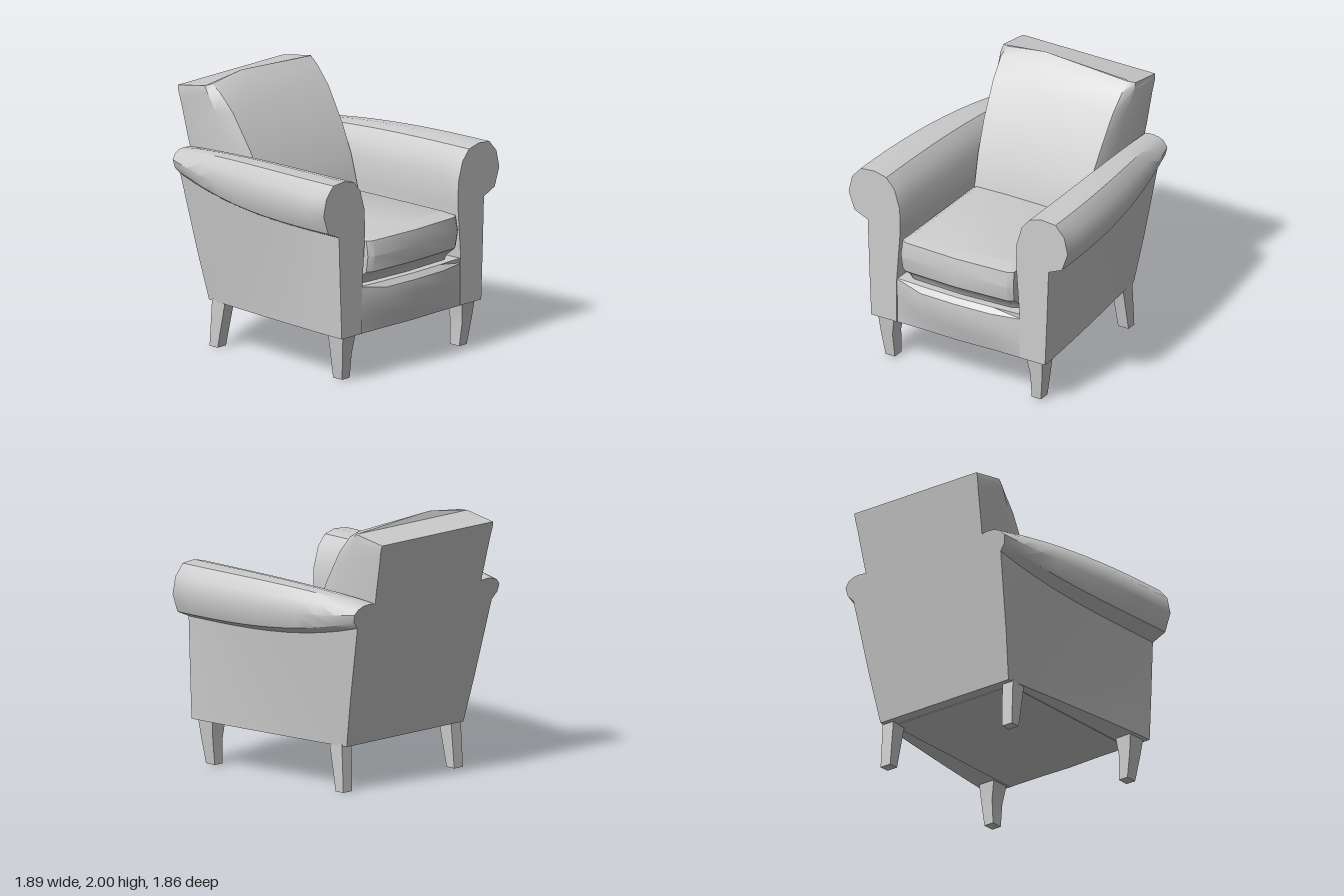
import * as THREE from 'three';
import { toCreasedNormals } from 'three/addons/utils/BufferGeometryUtils.js';

const fabric = new THREE.MeshStandardMaterial({ color: 0xcccccc });
fabric.name = 'light grey';

// Raked plane of the chair's back
const backZ = (y) => -0.59 - (y - 0.345) * 0.217;

// Skins closed rings of [x, y, z] and caps both ends; axes a, b span the caps
function loft(name, rings, a, b, crease = 0.6) {
  const n = rings[0].length;
  const points = rings.flat();
  const tris = [];
  for (let i = 0; i < rings.length - 1; i++) {
    for (let j = 0; j < n; j++) {
      const k = (j + 1) % n;
      const p = i * n + j, q = i * n + k;
      tris.push([p, q, q + n], [p, q + n, p + n]);
    }
  }
  [[0, -1], [rings.length - 1, 1]].forEach(([r, dir]) => {
    const flat = rings[r].map((p) => new THREE.Vector2(p[a], p[b]));
    const sign = Math.sign(THREE.ShapeUtils.area(flat)) * dir;
    for (const t of THREE.ShapeUtils.triangulateShape(flat.slice(), [])) {
      const same = Math.sign(THREE.ShapeUtils.area(t.map((i) => flat[i]))) === sign;
      tris.push((same ? t : [t[0], t[2], t[1]]).map((i) => i + r * n));
    }
  });
  // Turn every face outwards
  const v = points.map((p) => new THREE.Vector3(...p));
  let volume = 0;
  for (const [p, q, r] of tris) volume += v[p].dot(v[q].clone().cross(v[r]));
  const index = tris.flatMap((t) => (volume < 0 ? [t[0], t[2], t[1]] : t));
  const geometry = new THREE.BufferGeometry();
  geometry.setAttribute('position', new THREE.Float32BufferAttribute(points.flat(), 3));
  geometry.setIndex(index);
  const mesh = new THREE.Mesh(toCreasedNormals(geometry, crease), fabric);
  mesh.name = name;
  return mesh;
}

// Arm cross-sections: inner wall, scroll, outer wall
const armFront = [
  [0.53, 0.345], [0.53, 0.7], [0.5, 1.1], [0.505, 1.28], [0.55, 1.43], [0.62, 1.51], [0.72, 1.535],
  [0.84, 1.525], [0.915, 1.44], [0.945, 1.31], [0.895, 1.17], [0.78, 1.12], [0.765, 0.7], [0.75, 0.345],
];
const armBack = [
  [0.45, 0.345], [0.45, 0.7], [0.47, 1.1], [0.48, 1.3], [0.51, 1.4], [0.55, 1.45], [0.61, 1.455],
  [0.66, 1.45], [0.71, 1.43], [0.745, 1.39], [0.735, 1.33], [0.69, 1.28], [0.64, 0.7], [0.6, 0.345],
];

function arm(name, side) {
  const rings = [];
  for (let s = 0; s <= 10; s++) {
    const t = s / 10;
    rings.push(armFront.map(([x, y], i) => {
      const px = THREE.MathUtils.lerp(x, armBack[i][0], i > 3 && i < 12 ? t ** 2 : t ** 1.2);
      const py = THREE.MathUtils.lerp(y, armBack[i][1], t ** 3.2);
      return [px * side, py, THREE.MathUtils.lerp(0.87, backZ(py), t)];
    }));
  }
  return loft(name, rings, 0, 1);
}

// Back rest: height, front z, half width, depth of the softened front corner, crown rise
function backRest() {
  const levels = [
    [0.345, -0.2, 0.5, 0.1, 0], [0.9, -0.06, 0.49, 0.1, 0], [1.06, -0.085, 0.51, 0.12, 0],
    [1.3, -0.17, 0.53, 0.15, 0], [1.52, -0.28, 0.55, 0.16, 0], [1.77, -0.43, 0.565, 0.13, 0],
    [1.9, -0.55, 0.575, 0.08, 0.02], [1.945, -0.63, 0.57, 0.03, 0.05],
  ];
  const rings = levels.map(([y, zf, w, c, rise]) => {
    const yb = y - Math.max(0, y - 1.77) * 0.25;
    const zb = backZ(yb);
    return [
      [-w, yb, zb], [-w, y, zf - c], [-w + 0.05, y + rise * 0.2, zf], [-0.2, y + rise, zf - 0.01],
      [w - 0.05, y + rise * 0.2, zf], [w, y, zf - c], [w, yb, zb], [0, yb, zb],
    ];
  });
  return loft('backRest', rings, 0, 2);
}

// Base with a gently bulging front panel
function base() {
  const rings = [[0.34, 0.87], [0.45, 0.9], [0.57, 0.928], [0.66, 0.92], [0.7, 0.885]].map(([y, z]) => [
    [-0.55, y, -0.5], [0.55, y, -0.5], [0.55, y, 0.86], [0.3, y, z - 0.01],
    [0, y, z], [-0.3, y, z - 0.01], [-0.55, y, 0.86],
  ]);
  return loft('base', rings, 0, 2);
}

// Seat cushion: height, front z, half width
function cushion() {
  const rings = [[0.69, 0.82, 0.46], [0.74, 0.84, 0.475], [0.8, 0.915, 0.48], [0.92, 0.935, 0.485],
    [1.035, 0.915, 0.48], [1.06, 0.8, 0.44]].map(([y, z, w]) => [
    [-w, y, -0.15], [w, y, -0.15], [w, y, z - 0.05], [w - 0.04, y, z - 0.02],
    [0, y, z], [-w + 0.04, y, z - 0.02], [-w, y, z - 0.05],
  ]);
  return loft('seatCushion', rings, 0, 2);
}

// Tapered leg: each level is [y, centre x, centre z, half x, half z]
function leg(name, side, levels) {
  const rings = levels.map(([y, x, z, hx, hz]) =>
    [[-1, -1], [1, -1], [1, 1], [-1, 1]].map(([i, j]) => [(x + i * hx) * side, y, z + j * hz]));
  return loft(name, rings, 0, 2);
}

export function createModel() {
  const chair = new THREE.Group();
  chair.name = 'armchair';
  chair.add(base(), cushion(), backRest());
  for (const [label, side] of [['left', 1], ['right', -1]]) {
    chair.add(arm(label + 'Arm', side));
    chair.add(leg(label + 'FrontLeg', side, [
      [0.36, 0.64, 0.77, 0.07, 0.075], [0.2, 0.645, 0.765, 0.05, 0.06], [0.01, 0.63, 0.755, 0.04, 0.045],
    ]));
    chair.add(leg(label + 'BackLeg', side, [
      [0.36, 0.56, -0.485, 0.05, 0.065], [0, 0.57, -0.53, 0.045, 0.04],
    ]));
  }
  return chair;
}
